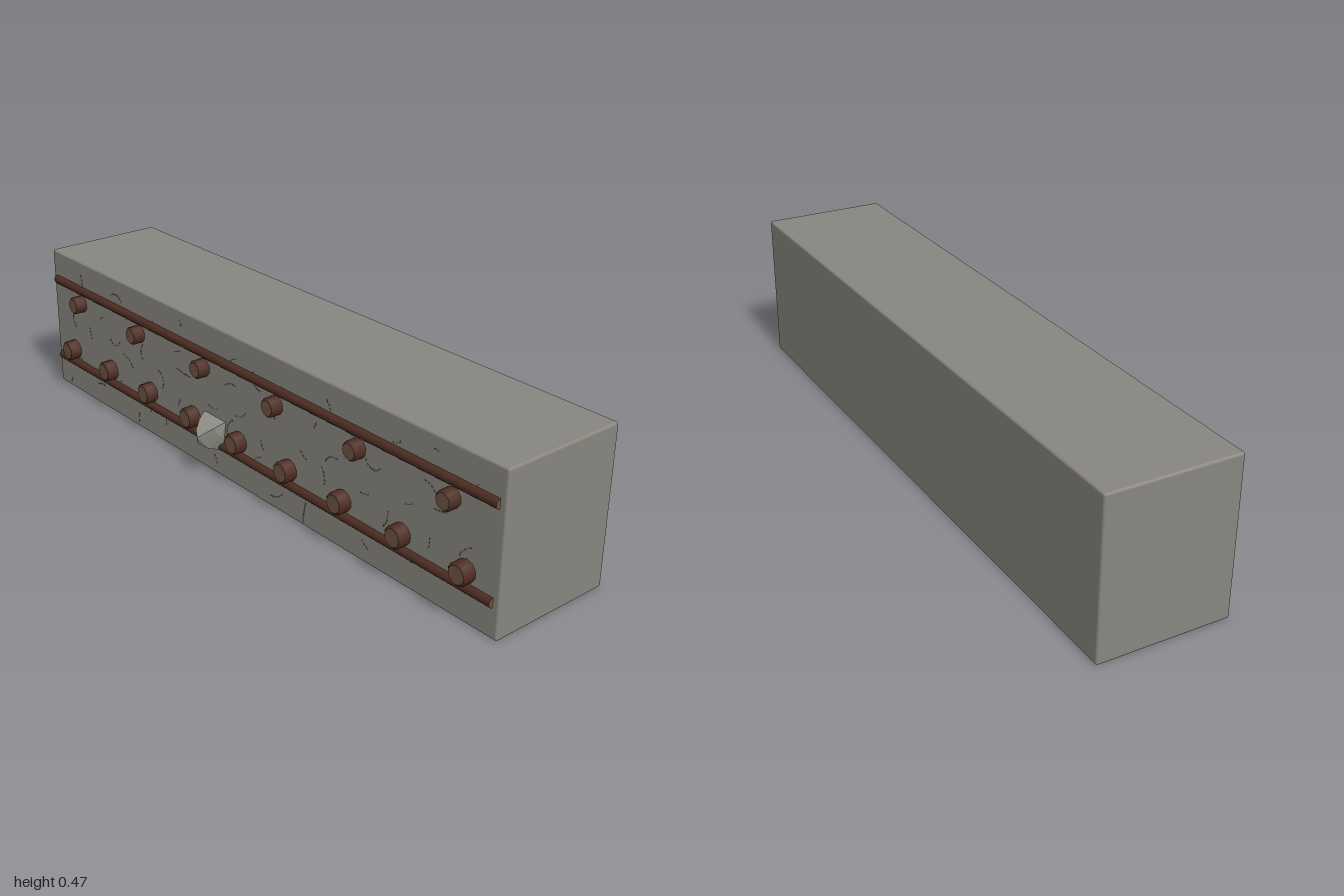
import * as THREE from 'three';
import { RoundedBoxGeometry } from 'three/addons/geometries/RoundedBoxGeometry.js';
import { ConvexGeometry } from 'three/addons/geometries/ConvexGeometry.js';
import { mergeGeometries } from 'three/addons/utils/BufferGeometryUtils.js';

const FRONT = 0.16; // z of the block's front face

function material(name, color, flatShading = false) {
  const m = new THREE.MeshStandardMaterial({ color, flatShading });
  m.name = name;
  return m;
}

function seeded(seed) {
  return () => (seed = (seed * 16807) % 2147483647) / 2147483647;
}

export function createModel() {
  const model = new THREE.Group();
  model.name = 'reinforcedBeam';

  const concrete = material('concrete grey', 0x88867f);
  const chip = material('broken concrete', 0x8f9088, true);
  const pit = material('dark pits', 0x5a5852);
  const rust = material('dark rust', 0x4e2d22);
  const cut = material('cut steel', 0x6e5443);

  const add = (name, geometry, mat, x, y, z, parent = model) => {
    const mesh = new THREE.Mesh(geometry, mat);
    mesh.name = name;
    mesh.position.set(x, y, z);
    parent.add(mesh);
    return mesh;
  };

  // Concrete block with softly broken edges
  add('block', new RoundedBoxGeometry(2, 0.467, 0.39, 2, 0.007), concrete, 0, 0.2335, -0.035);

  // Long bars half sunk in the front, with paler cut ends
  for (const [name, y] of [['upperBar', 0.37], ['lowerBar', 0.102]]) {
    const bar = new THREE.CylinderGeometry(0.0145, 0.0145, 1.96, 12);
    bar.rotateZ(Math.PI / 2);
    add(name, bar, [rust, cut, cut], 0, y, FRONT - 0.001);
  }

  // Bar stubs poking out of the front, each with a chamfered rim and a cut face
  function stubRow(name, count, spread, y, r) {
    const row = new THREE.Group();
    row.name = name;
    model.add(row);
    const profile = [[r, -0.02], [r, 0.031], [r * 0.82, 0.036]].map(p => new THREE.Vector2(...p));
    const side = new THREE.LatheGeometry(profile, 10).rotateX(Math.PI / 2);
    const face = new THREE.CircleGeometry(r * 0.82, 10);
    for (let i = 0; i < count; i++) {
      const x = -spread + (2 * spread * i) / (count - 1);
      add('stub', side, rust, x, y, FRONT, row);
      add('stubEnd', face, cut, x, y, FRONT + 0.036, row);
    }
  }
  stubRow('upperStubs', 6, 0.833, 0.325, 0.028);
  stubRow('lowerStubs', 9, 0.89, 0.149, 0.032);

  // Faceted lump of concrete clinging to the lower bar
  const lump = [
    [-0.172, 0.187, 0.155], [-0.066, 0.187, 0.155], [-0.155, 0.172, 0.19],
    [-0.08, 0.17, 0.193], [-0.128, 0.156, 0.222], [-0.112, 0.14, 0.23],
    [-0.122, 0.115, 0.222], [-0.1, 0.1, 0.2], [-0.138, 0.1, 0.195],
    [-0.14, 0.087, 0.155], [-0.082, 0.087, 0.155], [-0.165, 0.145, 0.165],
    [-0.072, 0.14, 0.175],
  ].map(p => new THREE.Vector3(...p));
  add('concreteLump', new ConvexGeometry(lump), chip, 0, 0, 0);

  // Short curved trails of tiny pits scattered over the front
  const rand = seeded(4711);
  const pits = [];
  for (let i = 0; i < 60; i++) {
    let x = -0.93 + (1.86 * (i + rand())) / 60;
    let y = 0.03 + 0.4 * ((i * 0.618) % 1);
    let angle = rand() * Math.PI * 2;
    const bend = (rand() - 0.5) * 0.8;
    const steps = 2 + Math.floor(rand() * 5);
    for (let k = 0; k < steps; k++) {
      const dash = new THREE.BoxGeometry(0.005 + rand() * 0.005, 0.003, 0.002);
      dash.rotateZ(angle);
      dash.translate(x, y, FRONT);
      if (y > 0.01 && y < 0.457 && Math.abs(x) < 0.98) pits.push(dash);
      x += Math.cos(angle) * 0.012;
      y += Math.sin(angle) * 0.012;
      angle += bend;
    }
  }
  add('surfacePits', mergeGeometries(pits), pit, 0, 0, 0);

  return model;
}
